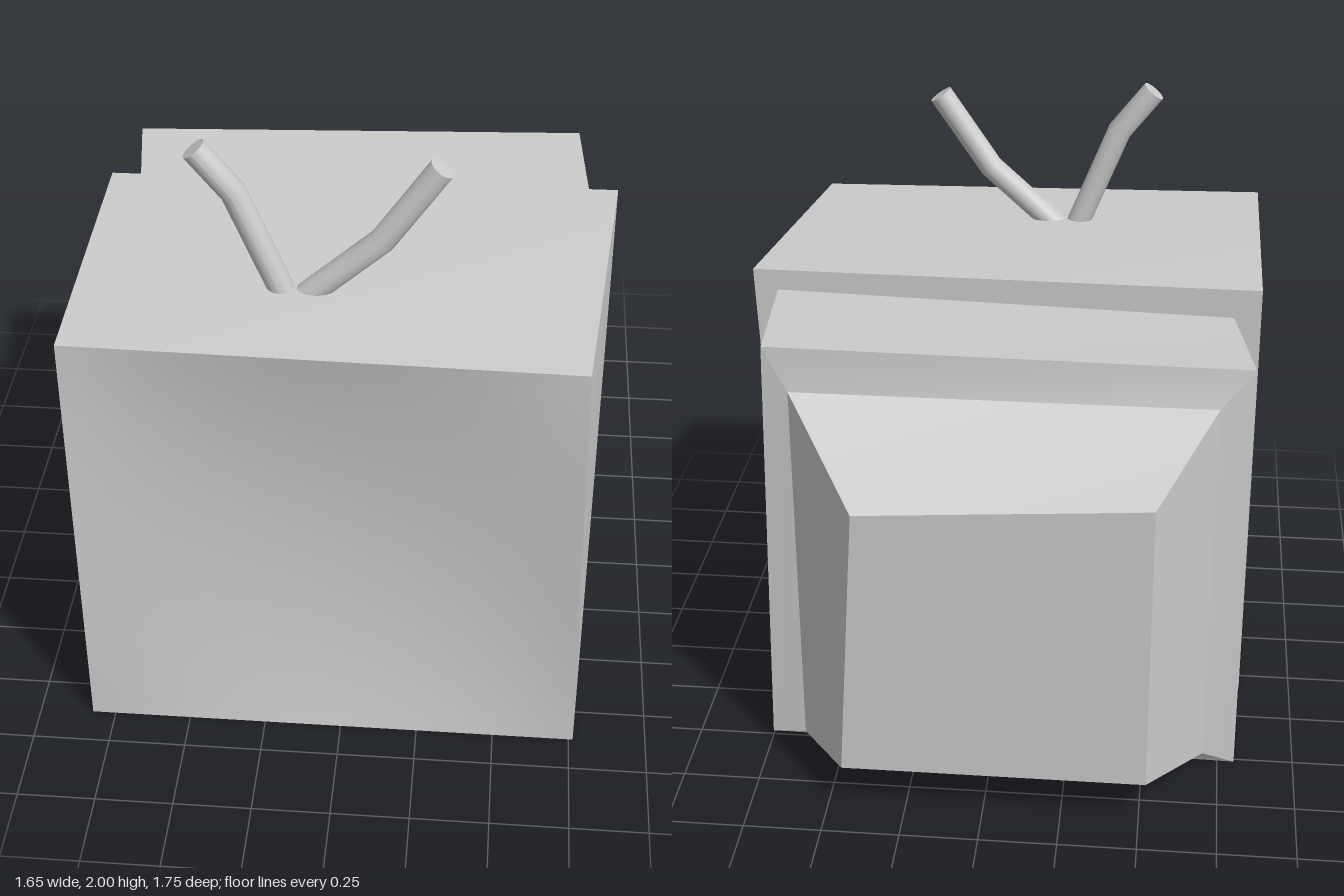
import * as THREE from 'three';

const material = new THREE.MeshStandardMaterial({ color: 0xcccccc });

function part(name, geometry) {
  geometry.computeVertexNormals();
  const mesh = new THREE.Mesh(geometry, material);
  mesh.name = name;
  return mesh;
}

// Skewed box: each end lists its corners as top-left, top-right, bottom-left, bottom-right.
// flipSide turns the diagonal fold of the +x face the other way; openFront drops the +z face.
function skewedBox(name, front, back, { flipSide = false, openFront = false } = {}) {
  const geometry = new THREE.BoxGeometry(1, 1, 1);
  const pos = geometry.attributes.position;
  for (let i = 0; i < pos.count; i++) {
    const end = pos.getZ(i) > 0 ? front : back;
    const corner = (pos.getY(i) > 0 ? 0 : 2) + (pos.getX(i) > 0 ? 1 : 0);
    pos.setXYZ(i, ...end[corner]);
  }
  if (flipSide) geometry.index.set([0, 2, 3, 0, 3, 1]);
  if (openFront) geometry.setIndex([...geometry.index.array].filter((_, i) => i < 24 || i >= 30));
  return part(name, geometry);
}

// Four-cornered panel hollowed smoothly towards its middle
function dishedPanel(name, corners, depth) {
  const [tl, tr, bl, br] = corners.map((c) => new THREE.Vector3(...c));
  const geometry = new THREE.PlaneGeometry(2, 2, 24, 24);
  const pos = geometry.attributes.position;
  for (let i = 0; i < pos.count; i++) {
    const u = pos.getX(i), v = pos.getY(i);
    const top = tl.clone().lerp(tr, (u + 1) / 2);
    const p = bl.clone().lerp(br, (u + 1) / 2).lerp(top, (v + 1) / 2);
    pos.setXYZ(i, p.x, p.y, p.z - depth * (1 - u * u) * (1 - v * v));
  }
  return part(name, geometry);
}

// Bent rod through three points, mitred at the bend and cut level at the foot
function bentRod(name, points, z, radius) {
  const [a, b, c] = points.map(([x, y]) => new THREE.Vector2(x, y));
  const normal = (p, q) => {
    const d = q.clone().sub(p).normalize();
    return new THREE.Vector2(d.y, -d.x);
  };
  const lower = normal(a, b), upper = normal(b, c);
  const mitre = lower.clone().add(upper).normalize();
  mitre.divideScalar(mitre.dot(lower));
  const foot = new THREE.Vector2(1 / lower.x, 0);
  const rings = [[a, foot], [b, mitre], [c, upper]];

  const geometry = new THREE.CylinderGeometry(radius, radius, 2, 24, 2);
  const pos = geometry.attributes.position;
  for (let i = 0; i < pos.count; i++) {
    const [centre, across] = rings[Math.round(pos.getY(i)) + 1];
    const s = pos.getX(i);
    pos.setXYZ(i, centre.x + across.x * s, centre.y + across.y * s, z + pos.getZ(i));
  }
  return part(name, geometry);
}

export function createModel() {
  const model = new THREE.Group();
  model.name = 'television';

  // Front cabinet and its hollowed screen face
  const cabinetFront = [[-0.826, 1.5, 0.875], [0.73, 1.48, 0.875], [-0.826, 0, 0.875], [0.764, 0, 0.875]];
  const cabinetBack = [[-0.826, 1.517, -0.076], [0.824, 1.53, -0.076], [-0.826, 0, -0.076], [0.764, 0, -0.076]];
  model.add(skewedBox('cabinet', cabinetFront, cabinetBack, { openFront: true }));
  model.add(dishedPanel('screen', cabinetFront, 0.08));

  // Cross-sections shared by the rear parts, from the cabinet backwards
  const housingFront = [[-0.74, 1.42, -0.076], [0.745, 1.46, -0.076], [-0.805, 0.01, -0.076], [0.745, 0.03, -0.076]];
  const housingBack = [[-0.805, 1.44, -0.508], [0.707, 1.47, -0.543], [-0.805, 0.01, -0.527], [0.745, 0.03, -0.523]];
  const coverBase = [[-0.7, 1.32, -0.545], [0.63, 1.32, -0.545], [-0.7, 0.05, -0.545], [0.63, 0.05, -0.545]];
  const coverBack = [[-0.52, 1.14, -0.875], [0.39, 1.08, -0.875], [-0.52, 0.155, -0.875], [0.45, 0.155, -0.875]];

  // Narrower middle housing, its sloping rim and the tapered tube cover
  model.add(skewedBox('rearHousing', housingFront, housingBack, { flipSide: true }));
  model.add(skewedBox('rearRim', housingBack, coverBase));
  model.add(skewedBox('tubeCover', coverBase, coverBack, { flipSide: true }));

  // Pair of bent aerials
  model.add(bentRod('rightAerial', [[-0.2, 1.5], [-0.335, 1.835], [-0.447, 1.976]], 0.53, 0.04));
  model.add(bentRod('leftAerial', [[-0.105, 1.5], [0.105, 1.69], [0.277, 1.944]], 0.53, 0.04));

  return model;
}
